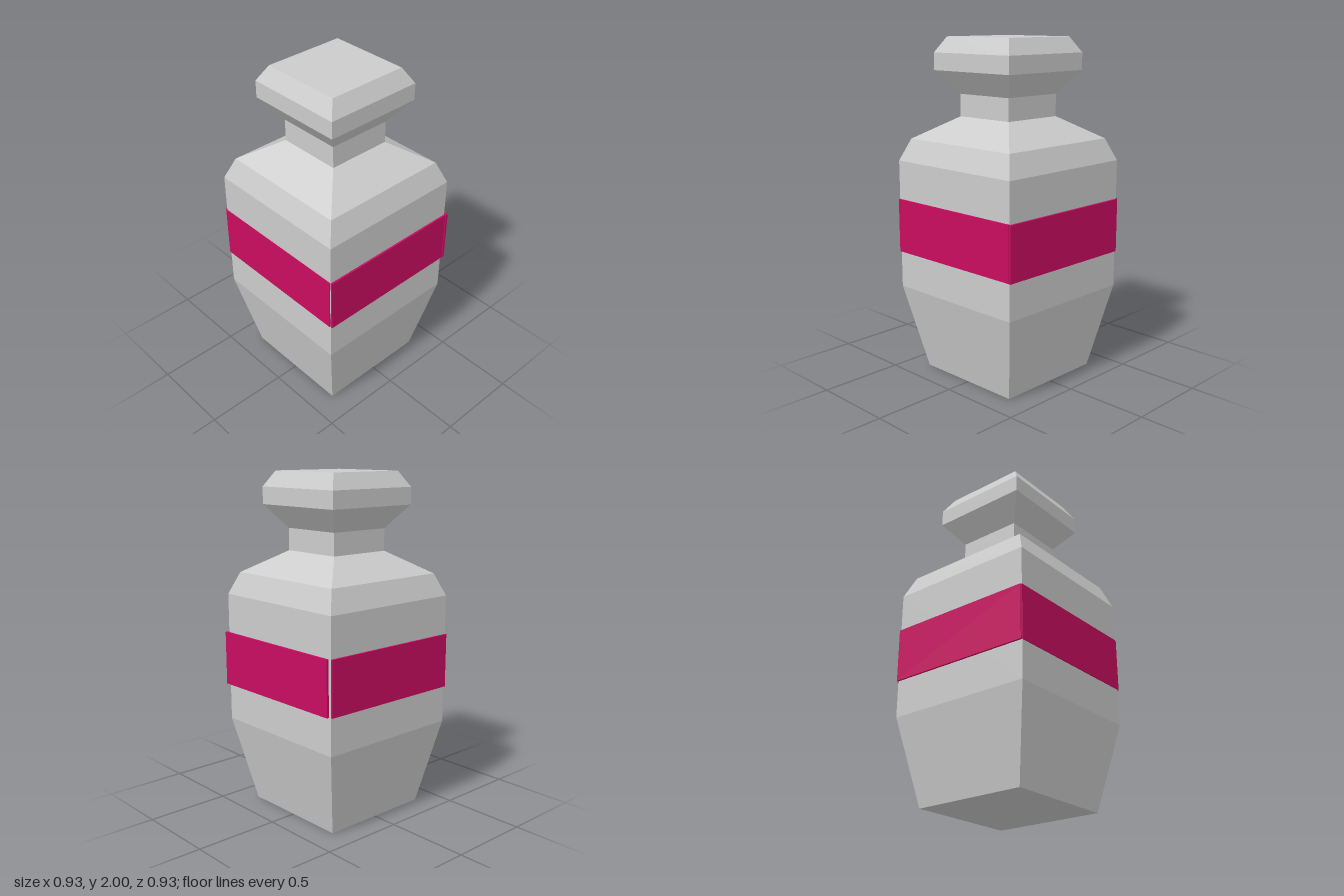
import * as THREE from 'three';

export function createModel() {
  const model = new THREE.Group();
  const grey = new THREE.MeshStandardMaterial({ color: 0xcccccc, flatShading: true });
  const pink = new THREE.MeshStandardMaterial({ color: 0xc90d60, flatShading: true });
  const centreX = -0.008;

  // Square bottle: a four-sided lathe, profile given as [half width, height]
  const profile = [
    [0, 0], [0.345, 0], [0.453, 0.515], [0.453, 1.285], [0.4, 1.415], [0.195, 1.545],
    [0.195, 1.675], [0.3, 1.81], [0.3, 1.91], [0.246, 2], [0, 2],
  ].map(([w, y]) => new THREE.Vector2(w * Math.SQRT2, y));
  const bottle = new THREE.Mesh(new THREE.LatheGeometry(profile, 4, Math.PI / 4), grey);
  bottle.name = 'bottle';
  bottle.position.x = centreX;
  model.add(bottle);

  // Label band: one thin strip on each face
  const addStrip = (name, x0, x1, z0, z1) => {
    const strip = new THREE.Mesh(new THREE.BoxGeometry(x1 - x0, 0.32, z1 - z0), pink);
    strip.name = name;
    strip.position.set((x0 + x1) / 2, 0.895, (z0 + z1) / 2);
    model.add(strip);
  };
  addStrip('frontBand', -0.461, 0.445, 0.45, 0.464);
  addStrip('backBand', -0.461, 0.445, -0.465, -0.452);
  addStrip('rightBand', -0.466, -0.457, -0.457, 0.448);
  addStrip('leftBand', 0.45, 0.464, -0.441, 0.465); // stands slightly off the face

  return model;
}
